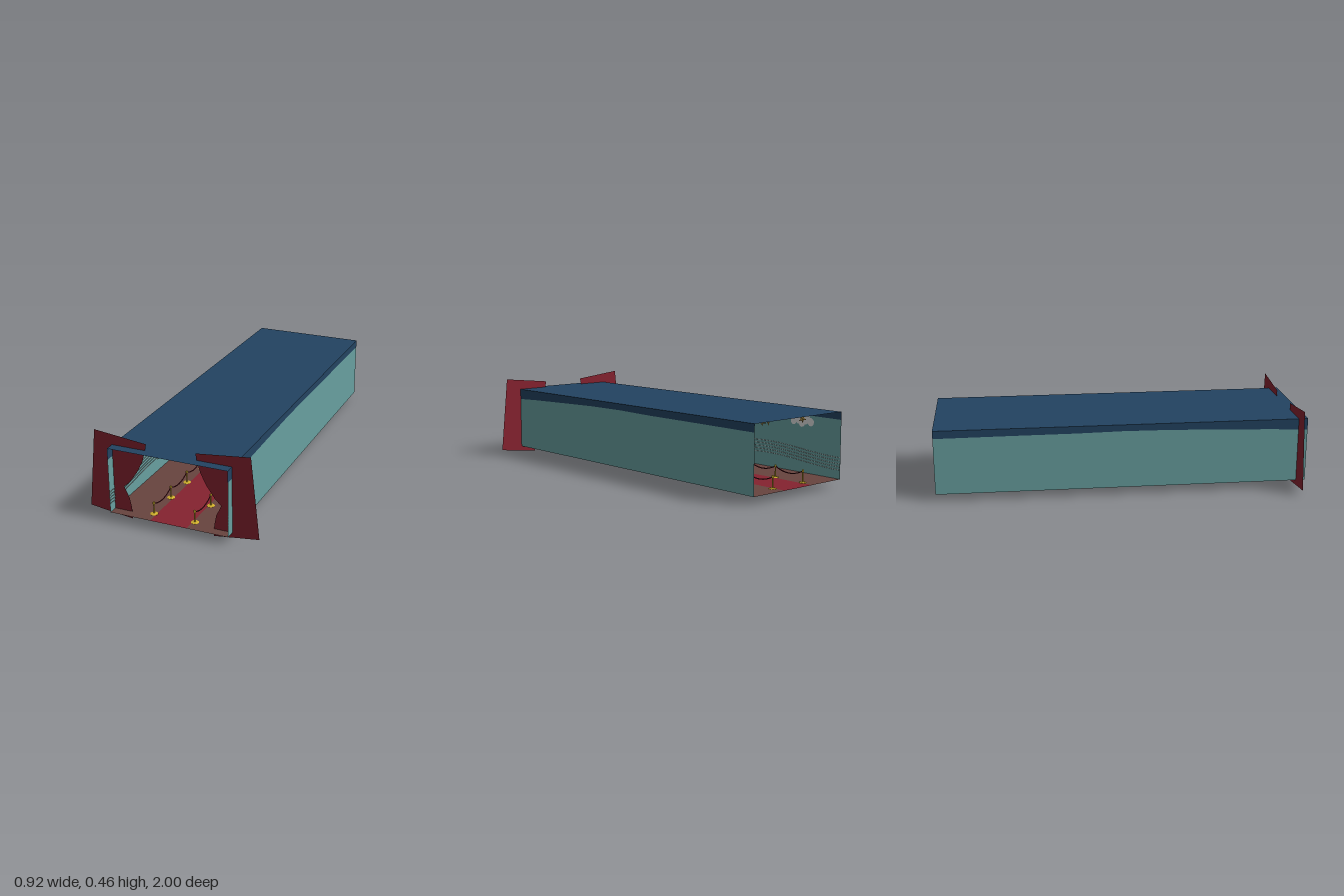
import * as THREE from 'three';

const mat = (name, color, side = THREE.FrontSide) =>
  Object.assign(new THREE.MeshStandardMaterial({ color, side }), { name });

const TWO = THREE.DoubleSide;
const navy = mat('navy', 0x234361, TWO);
const teal = mat('teal', 0x68a0a0, TWO);
const red = mat('curtainRed', 0x85222f, TWO);
const brown = mat('floorBrown', 0x68443f, TWO);
const gold = mat('brassGold', 0xd0b02c);
const starGold = mat('starGold', 0xb8974a);
const ropeRed = mat('ropeRed', 0x5a1520);
const white = mat('cloudWhite', 0xdcdcdc, TWO);
const grey = mat('lineGrey', 0xa6abab);

const W = 0.32, FLOOR = 0.04, TOP = 0.39;
const vec = (x, y, z) => new THREE.Vector3(x, y, z);
const shapeOf = (pts) => new THREE.Shape(pts.map(([x, y]) => new THREE.Vector2(x, y)));

function add(parent, name, geometry, material, x = 0, y = 0, z = 0) {
  const mesh = new THREE.Mesh(geometry, material);
  mesh.name = name;
  mesh.position.set(x, y, z);
  parent.add(mesh);
  return mesh;
}

// Horizontal sheet running the full length of the hall
const sheet = (x0, x1) => new THREE.PlaneGeometry(x1 - x0, 2).rotateX(-Math.PI / 2).translate((x0 + x1) / 2, 0, 0);

// Flat shape drawn in (z, y), stood up along a side wall
const wallShape = (shape) => new THREE.ShapeGeometry(shape).rotateY(-Math.PI / 2);

// Five-pointed faceted star: a two-ring sphere with every other rim point pulled in
function starGeometry(radius) {
  const g = new THREE.SphereGeometry(radius, 10, 2).rotateX(Math.PI / 2);
  const p = g.attributes.position;
  for (let i = 0; i < p.count; i++) {
    const s = (i % 11) % 2 ? 0.42 : 1;
    p.setXYZ(i, p.getX(i) * s, p.getY(i) * s, p.getZ(i) * 0.28);
  }
  const flat = g.toNonIndexed();
  flat.computeVertexNormals();
  return flat;
}

function cloud(scale) {
  const group = new THREE.Group();
  group.name = 'cloud';
  for (const [z, y, r] of [[-0.055, 0, 0.02], [-0.022, 0.014, 0.028], [0.02, 0.01, 0.025], [0.052, -0.003, 0.018], [0, -0.008, 0.02]]) {
    add(group, 'cloudPuff', new THREE.CircleGeometry(r, 16).rotateY(Math.PI / 2), white, 0, y, z);
  }
  group.scale.setScalar(scale);
  return group;
}

function stanchion() {
  const group = new THREE.Group();
  group.name = 'stanchion';
  const profile = [[0, 0], [0.02, 0], [0.02, 0.002], [0.005, 0.004], [0.0035, 0.007], [0.0035, 0.054],
    [0.006, 0.056], [0.006, 0.066], [0.004, 0.068], [0, 0.068]];
  add(group, 'post', new THREE.LatheGeometry(profile.map(([x, y]) => new THREE.Vector2(x, y)), 16), gold);
  return group;
}

export function createModel() {
  const model = new THREE.Group();
  model.name = 'showHall';

  // Floor with a central carpet, and the roof
  add(model, 'floorLeft', sheet(0.1, W), brown, 0, FLOOR);
  add(model, 'floorRight', sheet(-W, -0.1), brown, 0, FLOOR);
  add(model, 'carpet', sheet(-0.1, 0.1), red, 0, FLOOR);
  add(model, 'roof', sheet(-W, W), navy, 0, TOP);

  // Wavy border between the teal wall and the navy band
  const border = [[1, 0.328], [0.8, 0.337], [0.5, 0.346], [0.25, 0.353], [0, 0.355], [-0.25, 0.351], [-0.6, 0.35], [-1, 0.348]];
  const lower = wallShape(shapeOf([[-1, FLOOR], [1, FLOOR], ...border]));
  const upper = wallShape(shapeOf([...border, [-1, TOP], [1, TOP]]));

  // Curtain, gathered at the waist
  const curtain = new THREE.ShapeGeometry(shapeOf([[0.222, 0], [0.46, 0.03], [0.416, 0.456], [0.131, 0.425],
    [0.14, 0.38], [0.156, 0.325], [0.185, 0.267], [0.232, 0.2], [0.263, 0.172], [0.236, 0.115], [0.225, 0.062]]));

  const posts = 11, gap = 0.186, first = -0.93;
  for (const side of [1, -1]) {
    const half = new THREE.Group();
    half.name = side > 0 ? 'leftSide' : 'rightSide';
    model.add(half);
    add(half, 'wall', lower, teal, side * W);
    add(half, 'wallBand', upper, navy, side * W);
    add(half, 'curtain', curtain, red, 0, 0, 0.95).scale.x = side;

    // Flowing parallel lines along the inside of the wall
    for (let k = 0; k < 5; k++) {
      const pts = [];
      for (let i = 0; i <= 24; i++) {
        const z = -1 + i / 12;
        pts.push(vec(side * (W - 0.002), 0.088 + k * 0.016 + 0.03 * Math.sin(Math.PI * z) ** 2, z));
      }
      add(half, 'wallLine', new THREE.TubeGeometry(new THREE.CatmullRomCurve3(pts), 72, 0.0015, 5), grey);
    }

    // Clouds beneath the band
    [-0.74, -0.36, 0.02, 0.4, 0.78].forEach((z, i) => {
      const c = cloud(i % 2 ? 0.85 : 1.1);
      c.position.set(side * (W - 0.003), i % 2 ? 0.285 : 0.315, z);
      half.add(c);
    });

    // Row of posts joined by sagging ropes
    for (let i = 0; i < posts; i++) {
      const z = first + i * gap, x = side * 0.112;
      const post = stanchion();
      post.position.set(x, FLOOR, z);
      half.add(post);
      if (i === posts - 1) continue;
      const rope = new THREE.QuadraticBezierCurve3(vec(x, 0.1, z), vec(x, 0.052, z + gap / 2), vec(x, 0.1, z + gap));
      add(half, 'rope', new THREE.TubeGeometry(rope, 14, 0.003, 6), ropeRed);
    }
  }

  // Stars floating under the roof
  const star = starGeometry(0.023);
  const spots = [[-0.145, 0.295, 0.8], [0.065, 0.362, -0.85], [-0.105, 0.322, -0.6], [0.12, 0.368, 0.55],
    [0, 0.342, -0.75], [-0.07, 0.365, 0.35], [0.15, 0.307, 0.7], [-0.048, 0.35, -0.3], [0.095, 0.367, 0.1],
    [-0.135, 0.36, -0.9], [0.065, 0.322, -0.45], [-0.035, 0.298, 0.2], [-0.115, 0.367, 0], [0.005, 0.338, 0.45],
    [-0.055, 0.367, -0.1]];
  spots.forEach(([x, y, z], i) => {
    add(model, 'star', star, starGold, x, y, z).rotation.set(0.3 * Math.sin(i * 2.1), 0.5 * Math.sin(i * 1.3), i * 1.7);
  });

  return model;
}
